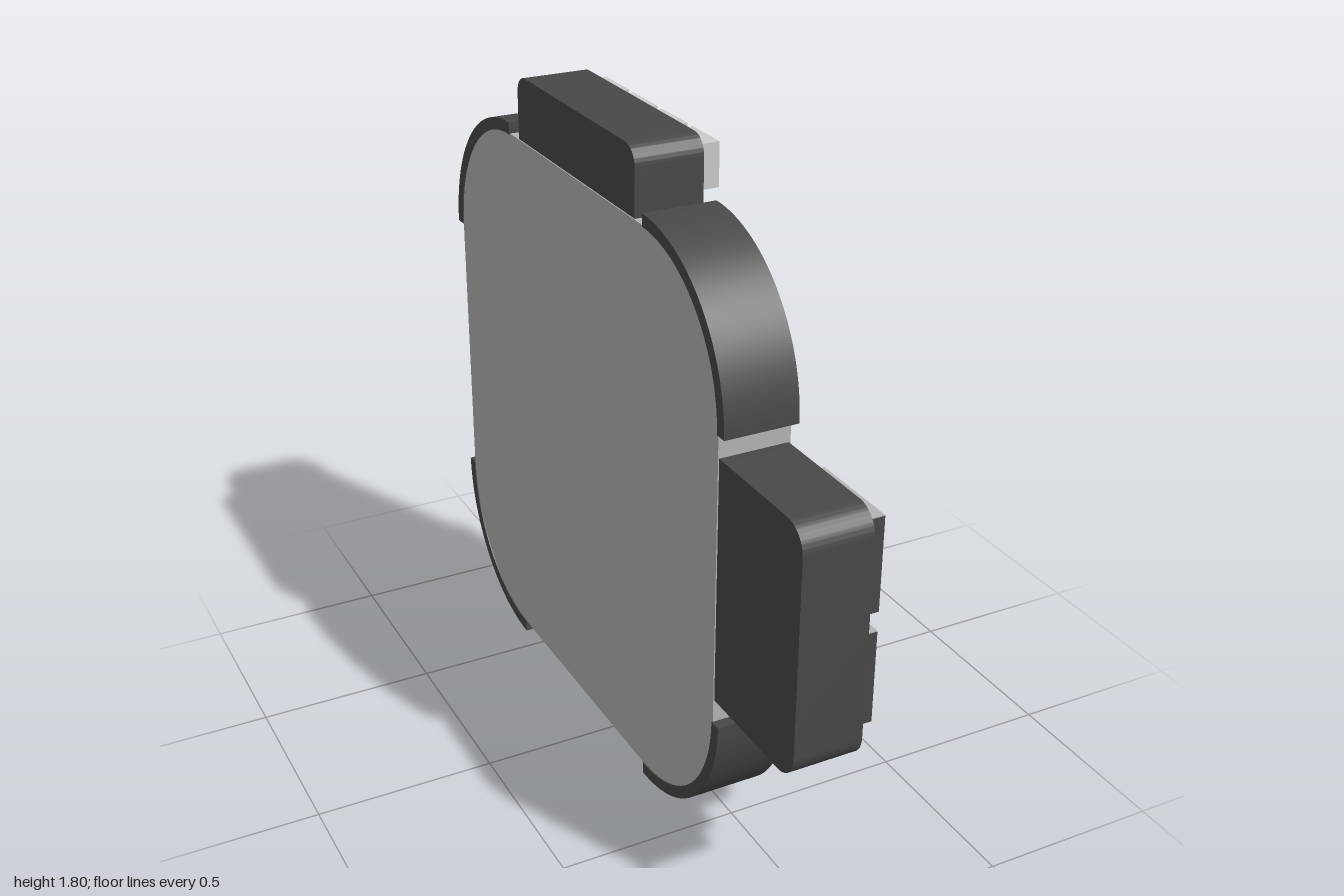
import * as THREE from 'three';
import { toCreasedNormals } from 'three/addons/utils/BufferGeometryUtils.js';

const mat = (color) => new THREE.MeshStandardMaterial({ color });
const dark = mat(0x484848), grey = mat(0xb4b4b4), light = mat(0xcccccc);

// Profile drawn in the z-y plane (shape x = -z), extruded along +x from x0 to x1
function slab(name, shape, x0, x1, material) {
  let geo = new THREE.ExtrudeGeometry(shape, { depth: x1 - x0, bevelEnabled: false, curveSegments: 18 });
  geo = toCreasedNormals(geo, 0.5);
  geo.rotateY(Math.PI / 2);
  geo.translate(x0, 0, 0);
  const mesh = new THREE.Mesh(geo, material);
  mesh.name = name;
  return mesh;
}

// Rectangle with its own radius per corner: [bottom front, bottom back, top back, top front]
function roundRect(zFront, zBack, y0, y1, radii) {
  const l = -zFront, r = -zBack, [a, b, c, d] = radii, h = Math.PI / 2;
  const s = new THREE.Shape();
  s.moveTo(l + a, y0);
  s.lineTo(r - b, y0);
  if (b) s.absarc(r - b, y0 + b, b, -h, 0);
  s.lineTo(r, y1 - c);
  if (c) s.absarc(r - c, y1 - c, c, 0, h);
  s.lineTo(l + d, y1);
  if (d) s.absarc(l + d, y1 - d, d, h, 2 * h);
  s.lineTo(l, y0 + a);
  if (a) s.absarc(l + a, y0 + a, a, 2 * h, 3 * h);
  return s;
}

function box(name, x0, x1, y0, y1, z0, z1, material) {
  const mesh = new THREE.Mesh(new THREE.BoxGeometry(x1 - x0, y1 - y0, z1 - z0), material);
  mesh.position.set((x0 + x1) / 2, (y0 + y1) / 2, (z0 + z1) / 2);
  mesh.name = name;
  return mesh;
}

export function createModel() {
  const model = new THREE.Group();
  model.name = 'device';
  const cy = 0.826, cz = -0.175, half = 0.794, outer = 0.826;

  // Rounded flat body
  model.add(slab('body', roundRect(cz + half, cz - half, cy - half, cy + half, [0.388, 0.388, 0.388, 0.388]),
    -0.13, 0.067, grey));

  // Four curved corner bumpers
  const R = 0.42, r = 0.386, off = outer - R;
  for (let i = 0; i < 4; i++) {
    const a0 = i * Math.PI / 2, a1 = a0 + Math.PI / 2;
    const sx = i === 0 || i === 3 ? 1 : -1, sy = i < 2 ? 1 : -1;
    const px = -cz + sx * off, py = cy + sy * off;
    const s = new THREE.Shape();
    s.absarc(px, py, R, a0, a1, false);
    s.absarc(px, py, r, a1, a0, true);
    s.closePath();
    model.add(slab('cornerBumper', s, -0.133, 0.07, dark));
  }

  // Top housing with a row of four buttons
  const top = new THREE.Group();
  top.name = 'topButtonRow';
  top.add(slab('topHousing', roundRect(0.18, -0.525, 1.615, 1.8, [0, 0, 0.05, 0.05]), -0.127, 0.062, dark));
  top.add(slab('topPanel', roundRect(0.16, -0.503, 1.64, 1.783, [0, 0, 0.03, 0.03]), 0.05, 0.066, grey));
  for (let i = 0; i < 4; i++) {
    const z = 0.08 - i * 0.167;
    top.add(box('topButton', 0.05, 0.122, 1.652, 1.77, z - 0.069, z + 0.069, light));
  }
  model.add(top);

  // Front housing with up and down buttons
  const side = new THREE.Group();
  side.name = 'arrowControl';
  side.add(slab('arrowHousing', roundRect(1, 0.615, 0.485, 1.17, [0.07, 0, 0, 0.07]), -0.127, 0.062, dark));
  side.add(box('arrowPanel', 0.05, 0.066, 0.515, 1.145, 0.65, 0.975, grey));
  for (const dir of [1, -1]) {
    const y = dir > 0 ? 0.986 : 0.674;
    side.add(box('arrowButton', 0.05, 0.128, y - 0.13, y + 0.127, 0.68, 0.94, dark));
    side.add(box('buttonTopPlate', 0.066, 0.127, y + 0.127, y + 0.13, 0.68, 0.94, grey));
    const tri = new THREE.Shape([
      new THREE.Vector2(-0.81 - 0.115, y - dir * 0.111),
      new THREE.Vector2(-0.81 + 0.115, y - dir * 0.111),
      new THREE.Vector2(-0.81, y + dir * 0.111),
    ]);
    side.add(slab('arrow', tri, 0.12, 0.131, light));
  }
  model.add(side);
  return model;
}
